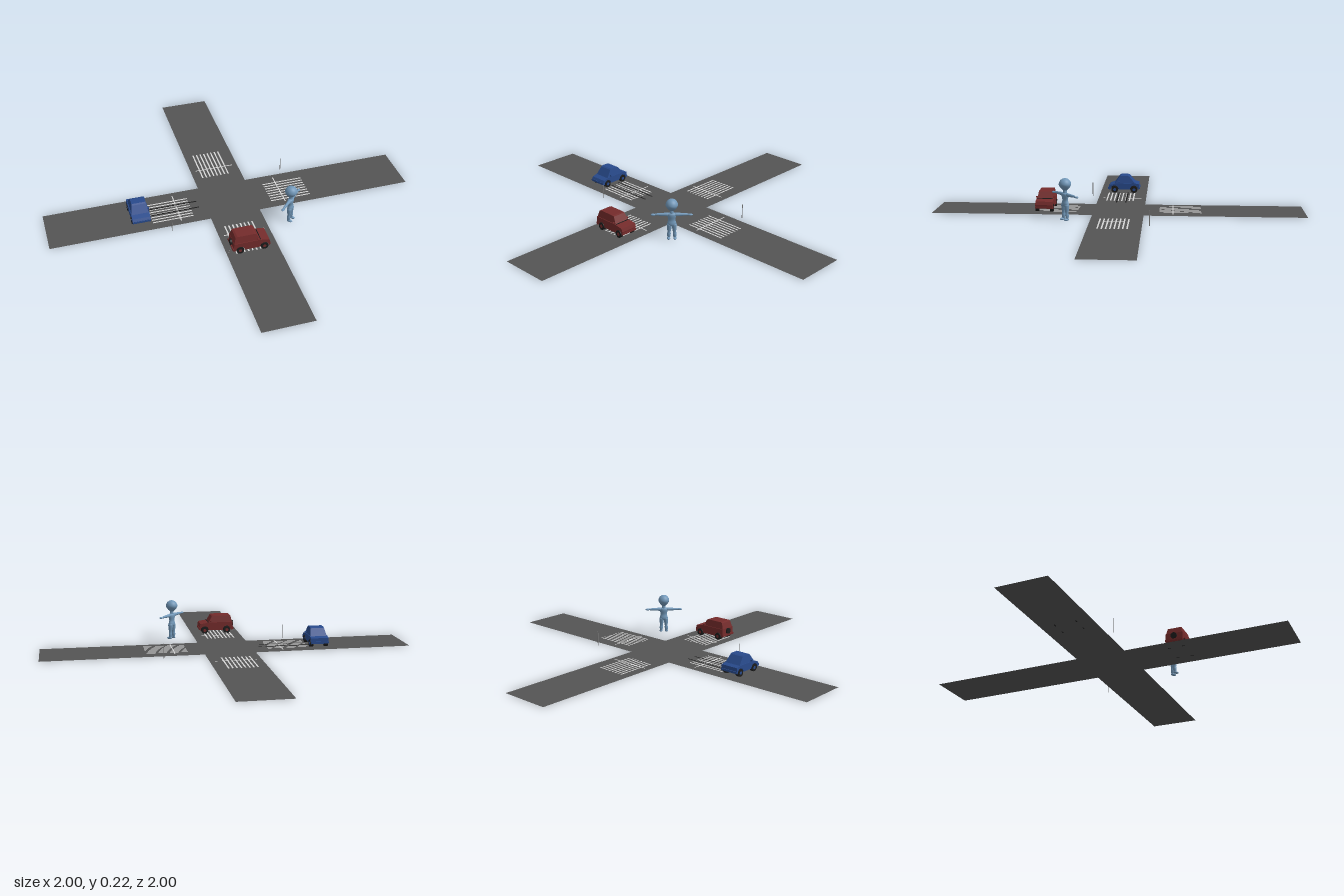
import * as THREE from 'three';

const mat = (name, color, side = THREE.FrontSide) => {
  const m = new THREE.MeshStandardMaterial({ color, side });
  m.name = name;
  return m;
};

export function createModel() {
  const root = new THREE.Group();
  root.name = 'crossroads';
  const asphalt = mat('asphalt', 0x545454, THREE.DoubleSide);
  const white = mat('roadPaint', 0xd4d4d4);
  const black = mat('rubber', 0x1c1c1c);
  const red = mat('redPaint', 0x742b2b);
  const blue = mat('bluePaint', 0x284a8c);
  const skin = mat('paleBlue', 0x7197b8);
  const grey = mat('poleGrey', 0x808080);

  const add = (parent, name, geo, material, x = 0, y = 0, z = 0) => {
    const m = new THREE.Mesh(geo, material);
    m.name = name;
    m.position.set(x, y, z);
    parent.add(m);
    return m;
  };
  const box = (parent, name, material, w, h, d, x, y, z) =>
    add(parent, name, new THREE.BoxGeometry(w, h, d), material, x, y, z);

  // Road: one flat cross
  const w = 0.137, L = 1;
  const cross = new THREE.Shape([
    [-w, -L], [w, -L], [w, -w], [L, -w], [L, w], [w, w],
    [w, L], [-w, L], [-w, w], [-L, w], [-L, -w], [-w, -w],
  ].map(([x, y]) => new THREE.Vector2(x, y)));
  add(root, 'road', new THREE.ShapeGeometry(cross).rotateX(-Math.PI / 2), asphalt, 0, 0.0005, 0);

  // Crossings: eight stripes and a stop line on every arm
  const flat = (parent, name, material, sx, sz, x, y, z) =>
    add(parent, name, new THREE.PlaneGeometry(sx, sz).rotateX(-Math.PI / 2), material, x, y, z);
  for (const s of [-1, 1]) {
    for (let i = 0; i < 8; i++) {
      const o = -0.085 + i * 0.0214;
      flat(root, 'crossingStripe', white, 0.008, 0.225, o, 0.002, s * 0.332);
      flat(root, 'crossingStripe', white, 0.225, 0.008, s * 0.332, 0.002, -o);
    }
    flat(root, 'stopLine', white, 0.22, 0.006, 0, 0.0025, s * 0.293);
    flat(root, 'stopLine', white, 0.006, 0.22, s * 0.293, 0.0025, 0);
    // Skid marks in front of the blue car
    flat(root, 'skidMark', black, 0.28, 0.008, -0.315, 0.003, s * 0.026);
    // Thin corner poles
    add(root, 'pole', new THREE.CylinderGeometry(0.002, 0.002, 0.078, 8), grey,
      s * 0.36, 0.039, -s * 0.175);
  }

  // Small scattered shards
  for (let i = 0; i < 8; i++) {
    const behind = i > 4;
    const shard = add(root, 'shard', new THREE.TetrahedronGeometry(0.004), grey,
      behind ? -0.125 + (i - 5) * 0.009 : -0.36 + i * 0.02, 0.004,
      behind ? 0.43 - (i - 5) * 0.015 : 0.012 * Math.sin(i * 2.3));
    shard.rotation.set(i, i * 1.7, 0);
  }

  // Car: extruded side profile with wheel arches, tapered cabin, wheels
  function car(name, paint, { axles, lower, cabin, belt, roof, width }) {
    const g = new THREE.Group();
    g.name = name;
    const s = new THREE.Shape();
    s.moveTo(...lower[lower.length - 1]);
    s.lineTo(lower[0][0], 0.02);
    for (const x of axles) {
      s.lineTo(x - 0.024, 0.02);
      s.absarc(x, 0.02, 0.024, Math.PI, 0, true);
    }
    lower.slice(1).forEach(p => s.lineTo(...p));
    const extrude = (shape, d) => new THREE.ExtrudeGeometry(shape,
      { depth: d, bevelEnabled: false, curveSegments: 8 }).translate(0, 0, -d / 2);
    add(g, 'body', extrude(s, width), paint);
    box(g, 'chassis', black, 0.15, 0.024, width - 0.04, 0, 0.03, 0);

    const cab = extrude(new THREE.Shape(cabin.map(p => new THREE.Vector2(...p))), width - 0.006);
    const p = cab.attributes.position;
    for (let i = 0; i < p.count; i++) {
      const t = (p.getY(i) - belt) / (roof - belt);
      p.setZ(i, p.getZ(i) * (1 - 0.18 * Math.max(0, t)));
    }
    cab.computeVertexNormals();
    add(g, 'cabin', cab, paint);

    for (const side of [-1, 1]) {
      for (const x of axles) {
        add(g, 'wheel', new THREE.CylinderGeometry(0.02, 0.02, 0.018, 20).rotateX(Math.PI / 2),
          black, x, 0.02, side * (width / 2 - 0.008));
        add(g, 'hub', new THREE.CylinderGeometry(0.009, 0.009, 0.02, 12).rotateX(Math.PI / 2),
          paint, x, 0.02, side * (width / 2 - 0.0085));
      }
      box(g, 'mirror', paint, 0.006, 0.007, 0.01, 0.03, belt + 0.008, side * width / 2);
    }
    box(g, 'frontBumper', paint, 0.008, 0.01, width, lower[1][0] + 0.001, 0.028, 0);
    box(g, 'rearBumper', paint, 0.008, 0.01, width, lower[0][0] - 0.001, 0.028, 0);
    root.add(g);
    return g;
  }

  const redCar = car('redCar', red, {
    axles: [-0.065, 0.065], belt: 0.064, roof: 0.102, width: 0.094,
    lower: [[-0.1, 0.022], [0.092, 0.02], [0.095, 0.04], [0.09, 0.058], [0.037, 0.066], [-0.098, 0.066]],
    cabin: [[-0.098, 0.062], [0.043, 0.062], [0.022, 0.1], [0.012, 0.103], [-0.078, 0.103], [-0.088, 0.099]],
  });
  redCar.position.set(-0.003, 0, 0.4);
  box(redCar, 'windscreenSeal', black, 0.003, 0.003, 0.086, 0.044, 0.066, 0);
  add(redCar, 'spareWheel', new THREE.CylinderGeometry(0.016, 0.016, 0.01, 20).rotateZ(Math.PI / 2),
    black, -0.104, 0.05, 0);

  const blueCar = car('blueCar', blue, {
    axles: [-0.06, 0.055], belt: 0.055, roof: 0.1, width: 0.098,
    lower: [[-0.09, 0.022], [0.088, 0.02], [0.09, 0.034], [0.082, 0.046], [0.05, 0.056], [-0.06, 0.059], [-0.09, 0.052]],
    cabin: [[-0.068, 0.054], [0.056, 0.053], [0.026, 0.095], [0.018, 0.1], [-0.022, 0.1], [-0.032, 0.096]],
  });
  blueCar.rotation.y = -Math.PI / 2;
  blueCar.position.set(-0.503, 0, 0);

  // Pedestrian with arms spread, facing the corner
  const person = new THREE.Group();
  person.name = 'pedestrian';
  const lathe = (pts) => new THREE.LatheGeometry(
    new THREE.SplineCurve(pts.map(q => new THREE.Vector2(...q))).getPoints(20), 20);

  // Head: sphere narrowed towards the chin
  const head = new THREE.SphereGeometry(0.033, 24, 18);
  const hp = head.attributes.position;
  for (let i = 0; i < hp.count; i++) {
    const k = hp.getY(i) < 0 ? 1 + hp.getY(i) * 10 : 1;
    hp.setX(i, hp.getX(i) * k * 0.96);
    hp.setZ(i, hp.getZ(i) * k);
  }
  head.computeVertexNormals();
  add(person, 'head', head, skin, 0, 0.189, 0);
  add(person, 'neck', new THREE.CylinderGeometry(0.009, 0.011, 0.025, 14), skin, 0, 0.152, 0);
  add(person, 'torso', lathe([[0.0001, 0.072], [0.02, 0.078], [0.023, 0.09], [0.018, 0.108],
    [0.023, 0.13], [0.02, 0.143], [0.0001, 0.149]]), skin).scale.z = 0.65;
  for (const s of [-1, 1]) {
    const arm = add(person, 'arm', lathe([[0.0001, 0], [0.009, 0.003], [0.008, 0.03],
      [0.006, 0.06], [0.0045, 0.071]]), skin, s * 0.014, 0.137, 0);
    arm.rotation.z = -s * Math.PI / 2;
    add(person, 'hand', new THREE.SphereGeometry(0.01, 14, 10), skin, s * 0.094, 0.136, 0.001)
      .scale.set(1.25, 0.55, 0.8);
    const leg = add(person, 'leg', lathe([[0.0065, 0.006], [0.0095, 0.027], [0.0085, 0.042],
      [0.0125, 0.07], [0.0125, 0.085], [0.0001, 0.09]]), skin, s * 0.016, 0, 0);
    leg.rotation.z = s * 0.05;
    add(person, 'foot', new THREE.SphereGeometry(0.01, 14, 10), skin, s * 0.016, 0.0065, 0.006)
      .scale.set(0.85, 0.65, 1.6);
  }
  person.rotation.y = Math.PI / 4;
  person.position.set(0.264, 0, 0.264);
  root.add(person);

  return root;
}
